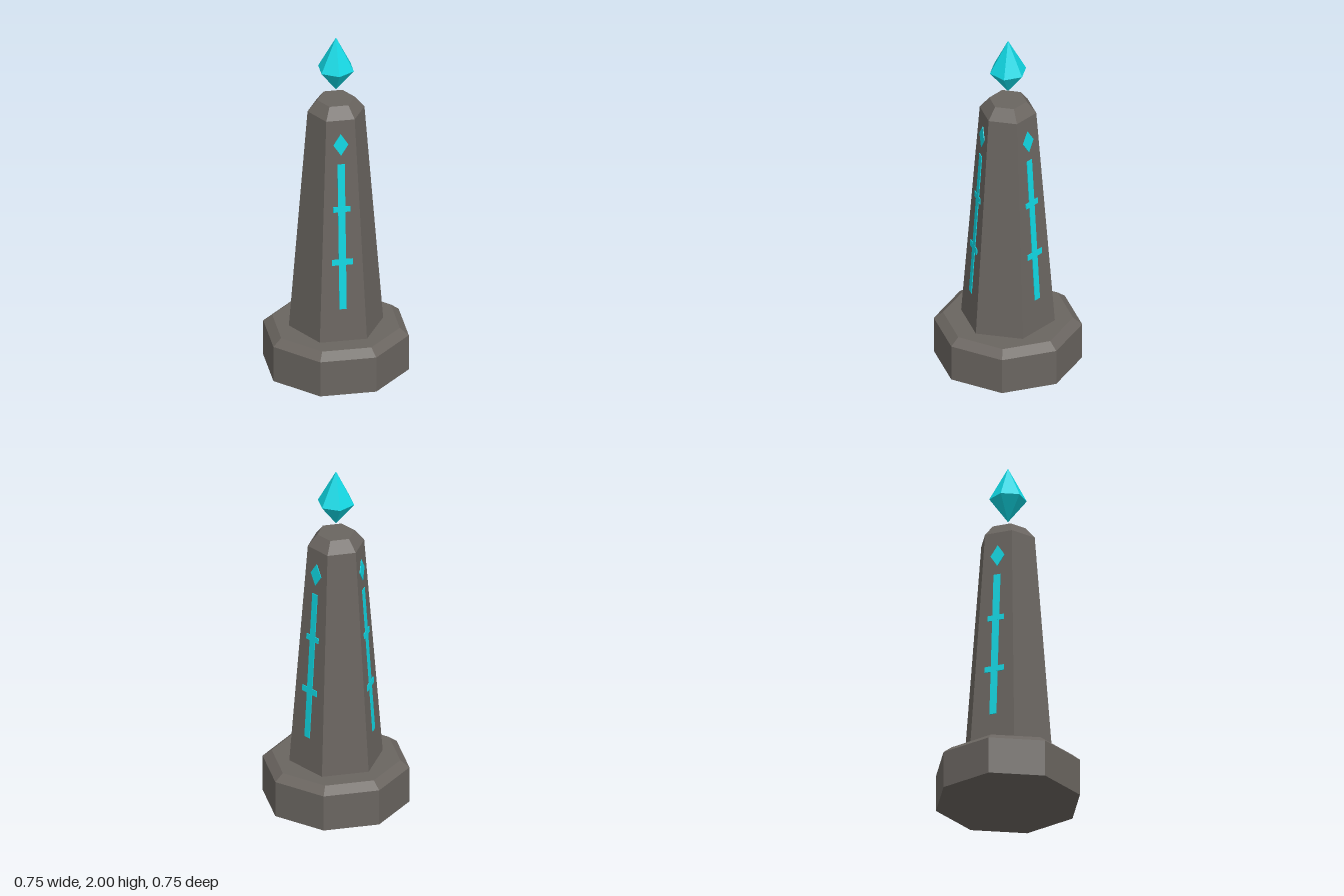
import * as THREE from 'three';

const stone = new THREE.MeshStandardMaterial({ color: 0x6a6560 });
stone.name = 'stone';
const glow = new THREE.MeshStandardMaterial({ color: 0x10d6e2 });
glow.name = 'cyan glow';

// Faceted solid turned from a [radius, height] profile, bottom to top
function faceted(name, profile, sides, start, material) {
  const points = profile.map(([r, y]) => new THREE.Vector2(r, y));
  const geometry = new THREE.LatheGeometry(points, sides, start).toNonIndexed();
  geometry.computeVertexNormals();
  const mesh = new THREE.Mesh(geometry, material);
  mesh.name = name;
  return mesh;
}

// Shaft dimensions shared with the glyphs
const SHAFT = { y0: 0.25, y1: 1.56, r0: 0.26, r1: 0.157 };
const apothem = Math.cos(Math.PI / 6);
const tilt = Math.atan2((SHAFT.r0 - SHAFT.r1) * apothem, SHAFT.y1 - SHAFT.y0);

// Thin inlay lying on one sloped shaft face, heights in model space
function createGlyph() {
  const glyph = new THREE.Group();
  const local = (y) => (y - SHAFT.y0) / Math.cos(tilt);
  const bar = (name, width, yLow, yHigh, thickness) => {
    const mesh = new THREE.Mesh(new THREE.BoxGeometry(width, local(yHigh) - local(yLow), thickness), glow);
    mesh.name = name;
    mesh.position.set(0, local((yLow + yHigh) / 2), 0);
    glyph.add(mesh);
  };
  bar('glyphStem', 0.04, 0.44, 1.3, 0.008);
  bar('glyphLowerCrossbar', 0.114, 0.702, 0.736, 0.009);
  bar('glyphUpperCrossbar', 0.094, 1.017, 1.049, 0.009);

  // Diamond above the stem
  const shape = new THREE.Shape([
    new THREE.Vector2(0, -0.064), new THREE.Vector2(0.041, 0),
    new THREE.Vector2(0, 0.064), new THREE.Vector2(-0.041, 0),
  ]);
  const diamond = new THREE.Mesh(
    new THREE.ExtrudeGeometry(shape, { depth: 0.008, bevelEnabled: false }), glow);
  diamond.name = 'glyphDiamond';
  diamond.position.set(0, local(1.416), -0.004);
  glyph.add(diamond);

  glyph.position.set(0, SHAFT.y0, SHAFT.r0 * apothem);
  glyph.rotation.x = -tilt;
  return glyph;
}

export function createModel() {
  const model = new THREE.Group();
  model.name = 'crystalObelisk';

  // Octagonal plinth with a chamfered rim
  model.add(faceted('plinth',
    [[0, 0], [0.404, 0], [0.404, 0.21], [0.354, 0.25], [0, 0.25]], 8, Math.PI / 8, stone));

  // Tapered hexagonal shaft with a chamfered cap
  model.add(faceted('shaft',
    [[0, SHAFT.y0], [SHAFT.r0, SHAFT.y0], [SHAFT.r1, SHAFT.y1], [0.104, 1.625], [0, 1.625]],
    6, Math.PI / 6, stone));

  // Glyphs on every other face
  ['frontGlyph', 'backLeftGlyph', 'backRightGlyph'].forEach((name, i) => {
    const side = new THREE.Group();
    side.name = name;
    side.rotation.y = (i * Math.PI * 2) / 3;
    side.add(createGlyph());
    model.add(side);
  });

  // Floating crystal
  model.add(faceted('crystal', [[0, 1.68], [0.103, 1.81], [0, 2]], 6, 0, glow));

  return model;
}
